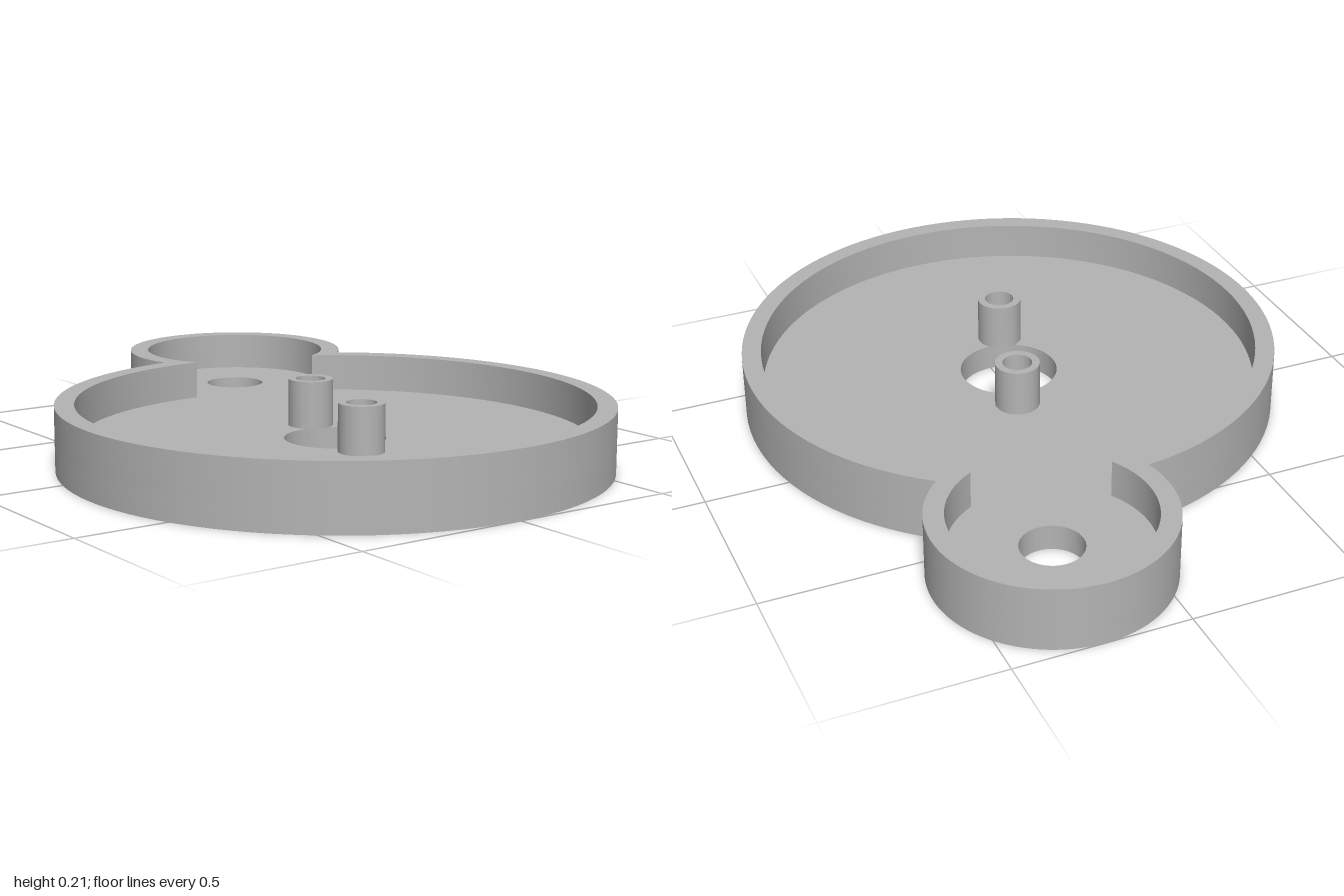
import * as THREE from 'three';
import { toCreasedNormals } from 'three/addons/utils/BufferGeometryUtils.js';

const MAIN = { x: 0.213, z: 0, r: 0.787 };      // large round tray
const LOBE = { x: -0.664, z: -0.243, r: 0.336 }; // small round side lobe
const WALL = 0.056, FLOOR = 0.076, RIM = 0.187, POST_TOP = 0.213;
const POSTS = [[0.024, -0.051], [0.398, 0.047]];
const POST_R = 0.065, BORE_R = 0.043;

// Outline of the two merged circles, shrunk by an inset (shape y is -z)
function outline(inset, Type = THREE.Shape) {
  const R = MAIN.r - inset, r = LOBE.r - inset;
  const dx = LOBE.x - MAIN.x, dy = MAIN.z - LOBE.z;
  const d = Math.hypot(dx, dy), base = Math.atan2(dy, dx);
  const a = (d * d + R * R - r * r) / (2 * d);
  const alpha = Math.acos(a / R), beta = Math.acos((d - a) / r);
  const path = new Type();
  path.absarc(MAIN.x, -MAIN.z, R, base + alpha, base - alpha + 2 * Math.PI, false);
  path.absarc(LOBE.x, -LOBE.z, r, base + Math.PI + beta, base + 3 * Math.PI - beta, false);
  return path;
}

function circle(x, z, r, Type = THREE.Path) {
  const path = new Type();
  path.absarc(x, -z, r, 0, 2 * Math.PI, false);
  return path;
}

// Extrude a plan shape with holes from height y0 up to y1
function slab(name, shape, holes, y0, y1, material, curveSegments) {
  shape.holes.push(...holes);
  const geo = new THREE.ExtrudeGeometry(shape, { depth: y1 - y0, bevelEnabled: false, curveSegments });
  geo.rotateX(-Math.PI / 2);
  geo.translate(0, y0, 0);
  const mesh = new THREE.Mesh(toCreasedNormals(geo, 0.5), material);
  mesh.name = name;
  return mesh;
}

export function createModel() {
  const group = new THREE.Group();
  group.name = 'roundTray';
  const grey = new THREE.MeshStandardMaterial({ color: 0xb4b4b4 });
  grey.name = 'grey';

  // Floor plate with centre opening, lobe hole and post bores
  group.add(slab('floor', outline(0), [
    circle(MAIN.x, MAIN.z, 0.144),
    circle(LOBE.x, LOBE.z, 0.089),
    ...POSTS.map(([x, z]) => circle(x, z, BORE_R)),
  ], 0, FLOOR, grey, 48));

  // Raised rim following the merged outline
  group.add(slab('rim', outline(0), [outline(WALL, THREE.Path)], FLOOR, RIM, grey, 48));

  // Hollow posts either side of the centre opening
  POSTS.forEach(([x, z], i) => {
    group.add(slab(i ? 'leftPost' : 'rightPost', circle(x, z, POST_R, THREE.Shape),
      [circle(x, z, BORE_R)], FLOOR, POST_TOP, grey, 48));
  });

  return group;
}
